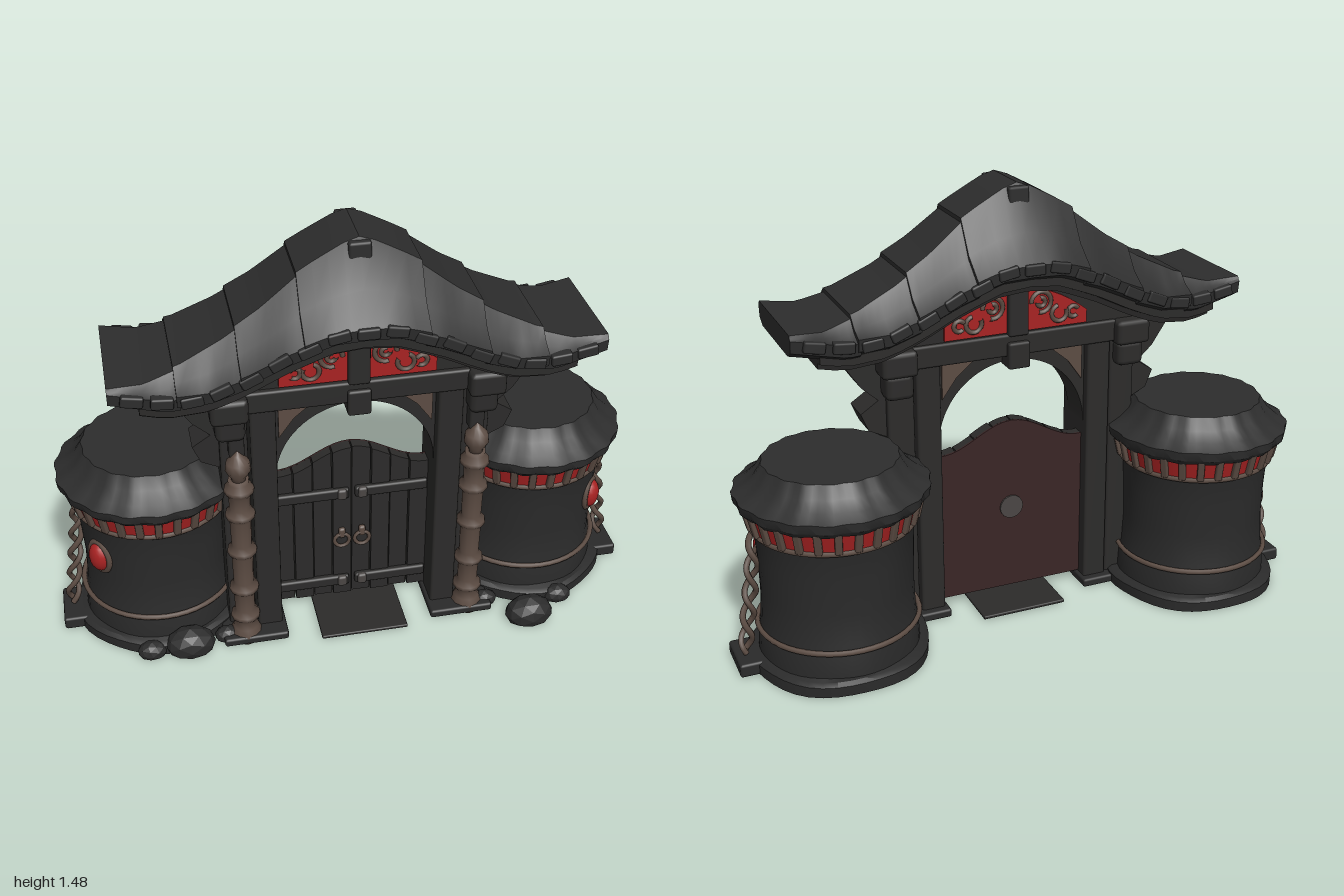
import * as THREE from 'three';
import { toCreasedNormals } from 'three/addons/utils/BufferGeometryUtils.js';
import { RoundedBoxGeometry } from 'three/addons/geometries/RoundedBoxGeometry.js';

const paint = (name, color) => Object.assign(new THREE.MeshStandardMaterial({ color }), { name });
const M = {
  roof: paint('charcoal tile', 0x2d2d2d),
  stone: paint('dark stone', 0x2a2a2a),
  wood: paint('black wood', 0x2c2b2a),
  brown: paint('weathered brown', 0x5c4c43),
  red: paint('deep red', 0xa82222),
  maroon: paint('maroon lacquer', 0x3a2525),
  grey: paint('dull grey', 0x4a4644),
};
const ZC = 0.09; // depth centre of the gate
const SIDES = [1, -1];

function add(parent, name, geo, mat, x = 0, y = 0, z = 0) {
  const m = new THREE.Mesh(geo, mat);
  m.name = name;
  m.position.set(x, y, z);
  parent.add(m);
  return m;
}
// box given by its limits
function block(parent, name, mat, x0, x1, y0, y1, z0, z1, r = 0.008) {
  const geo = new RoundedBoxGeometry(x1 - x0, y1 - y0, z1 - z0, 1, r);
  return add(parent, name, geo, mat, (x0 + x1) / 2, (y0 + y1) / 2, (z0 + z1) / 2);
}
// flat outline given a depth from z0 to z1
function plate(parent, name, mat, outline, z0, z1) {
  const shape = Array.isArray(outline) ? new THREE.Shape(outline.map((p) => new THREE.Vector2(...p))) : outline;
  const geo = new THREE.ExtrudeGeometry(shape, { depth: z1 - z0, bevelEnabled: false, curveSegments: 20 });
  return add(parent, name, toCreasedNormals(geo, 0.5), mat, 0, 0, z0);
}
const lathe = (pts, n) => new THREE.LatheGeometry(pts.map((p) => new THREE.Vector2(...p)), n);
// piecewise linear lookup mirrored about x = 0
function curve(table) {
  return (x) => {
    const a = Math.abs(x);
    let i = 1;
    while (i < table.length - 1 && a > table[i][0]) i++;
    const [x0, y0] = table[i - 1], [x1, y1] = table[i];
    return y0 + (y1 - y0) * (a - x0) / (x1 - x0);
  };
}
// solid made of (z, y) cross-sections along x
function sweep(xs, section) {
  const pos = [], idx = [];
  const n = section(xs[0]).length;
  xs.forEach((x) => section(x).forEach(([z, y]) => pos.push(x, y, z + ZC)));
  for (let i = 0; i < xs.length - 1; i++) for (let j = 0; j < n; j++) {
    const k = (j + 1) % n, a = i * n + j, b = i * n + k;
    idx.push(a, b, a + n, b, b + n, a + n);
  }
  [0, xs.length - 1].forEach((i) => {
    const c = pos.length / 3;
    const ys = section(xs[i]).map((p) => p[1]);
    pos.push(xs[i], (Math.max(...ys) + Math.min(...ys)) / 2, ZC);
    for (let j = 0; j < n; j++) {
      const a = i * n + j, b = i * n + (j + 1) % n;
      idx.push(c, ...(i ? [a, b] : [b, a]));
    }
  });
  const g = new THREE.BufferGeometry();
  g.setAttribute('position', new THREE.Float32BufferAttribute(pos, 3));
  g.setIndex(idx);
  return toCreasedNormals(g, 0.5);
}
const range = (a, b, n) => Array.from({ length: n + 1 }, (_, i) => a + (b - a) * i / n);

const ridgeY = curve([[0, 1.48], [0.05, 1.46], [0.18, 1.38], [0.3, 1.28], [0.42, 1.2], [0.55, 1.13], [0.66, 1.1], [0.77, 1.11]]);
const ridgeW = curve([[0, 0.095], [0.18, 0.1], [0.55, 0.145], [0.77, 0.185]]);
const eaveY = curve([[0, 1.25], [0.1, 1.24], [0.23, 1.19], [0.36, 1.125], [0.47, 1.08], [0.6, 1.065], [0.77, 1.095]]);
const eaveD = curve([[0, 0.24], [0.4, 0.235], [0.6, 0.22], [0.77, 0.195]]);

function buildRoof() {
  const g = new THREE.Group();
  g.name = 'roof';
  // overlapping tile courses, each resting on the one below
  const courses = [[-0.19, 0.19], [0.18, 0.38], [0.37, 0.57], [0.56, 0.77]];
  courses.forEach(([a, b], c) => (c ? SIDES : [1]).forEach((s) => {
    const xs = s > 0 ? range(a, b, 8) : range(-b, -a, 8);
    add(g, 'roofCourse', sweep(xs, (x) => {
      const k = c ? (Math.abs(x) - a) / (b - a) : Math.abs(x) / b;
      const lift = 0.014 * k * (c < 3 ? 1 : 0);
      const T = ridgeY(x) + lift, E = eaveY(x) + lift, w = ridgeW(x), d = eaveD(x) + lift * 0.5;
      const half = [[w, T], [w + (d - w) * 0.45, T + (E - T) * 0.62], [d, E], [d - 0.005, E - 0.04], [d - 0.04, E - 0.06]];
      return [...half, ...half.slice().reverse().map(([z, y]) => [-z, y])];
    }), M.roof);
  }));
  // arched trim under the eaves
  add(g, 'eaveTrim', sweep(range(-0.68, 0.68, 28), (x) => {
    const E = eaveY(x), d = eaveD(x) - 0.025;
    const half = [[d, E - 0.045], [d, E - 0.075], [d - 0.03, E - 0.08], [d - 0.035, E - 0.1]];
    return [...half, ...half.slice().reverse().map(([z, y]) => [-z, y])];
  }), M.wood);
  // tile ends along both eaves
  for (let i = 0; i < 17; i++) {
    const x = -0.7 + i * 0.0875;
    const slope = Math.atan2(eaveY(x + 0.03) - eaveY(x - 0.03), 0.06);
    SIDES.forEach((s) => {
      const t = add(g, 'tileEnd', new RoundedBoxGeometry(0.068, 0.036, 0.04, 1, 0.006), M.roof,
        x, eaveY(x) - 0.014 + (i % 2) * 0.006, ZC + s * (eaveD(x) - 0.01));
      t.rotation.z = slope;
    });
  }
  // ridge end knobs
  SIDES.forEach((s) => {
    block(g, 'ridgeKnob', M.roof, -0.035, 0.035, 1.41, 1.47, ZC + s * 0.1 - 0.02, ZC + s * 0.1 + 0.02);
  });
  return g;
}

function buildGate() {
  const g = new THREE.Group();
  g.name = 'gate';
  // arched wall, gable and lintel
  const arch = new THREE.Shape();
  arch.moveTo(0.262, 0.6);
  arch.absarc(0, 0.62, 0.262, 0, Math.PI, false);
  [[-0.262, 0.6], [-0.29, 0.6], [-0.29, 0.95], [0.29, 0.95], [0.29, 0.6]].forEach((p) => arch.lineTo(...p));
  plate(g, 'archWall', M.wood, arch, 0.03, 0.15);
  const top = range(0.44, -0.44, 24).map((x) => [x, eaveY(x) - 0.07]);
  plate(g, 'gableWall', M.wood, [[-0.44, 0.96], [0.44, 0.96], ...top], 0.0, 0.18);
  block(g, 'lintel', M.wood, -0.36, 0.36, 0.91, 0.985, -0.015, 0.2);
  const panelTop = range(0.25, -0.25, 16).map((x) => [x, Math.max(1.03, 1.135 - x * x * 1.6)]);
  SIDES.forEach((s) => {
    const z = ZC + s * 0.094;
    plate(g, 'gablePanel', M.red, [[-0.25, 0.99], [0.25, 0.99], ...panelTop], z - 0.004, z + 0.004);
    block(g, 'gableBracket', M.wood, -0.035, 0.035, 0.98, 1.15, z - 0.025, z + 0.025);
    block(g, 'keystone', M.wood, -0.038, 0.038, 0.87, 0.96, ZC + s * 0.085 - 0.04, ZC + s * 0.085 + 0.04);
    SIDES.forEach((m) => {
      // scrollwork and corner spandrels
      [[0.085, 1.08, 0.035], [0.085, 1.08, 0.014], [0.15, 1.035, 0.027], [0.2, 1.035, 0.018]].forEach(([x, y, r], i) => {
        const t = add(g, 'scroll', new THREE.TorusGeometry(r, 0.008, 6, 16, 5), M.brown, m * x, y, z + s * 0.005);
        t.rotation.z = i * 1.3;
      });
      const tri = [[m * 0.25, 0.9], [m * 0.14, 0.9], [m * 0.2, 0.85], [m * 0.25, 0.78]];
      plate(g, 'spandrel', M.brown, tri, ZC + s * 0.063 - 0.004, ZC + s * 0.063 + 0.004);
    });
  });
  SIDES.forEach((s) => {
    const span = (a, b) => (s > 0 ? [a, b] : [-b, -a]);
    block(g, 'innerPost', M.wood, ...span(0.262, 0.345), 0, 0.97, 0, 0.19);
    block(g, 'outerPost', M.wood, ...span(0.35, 0.44), 0, 0.98, 0.01, 0.16);
    block(g, 'postFooting', M.stone, ...span(0.25, 0.47), 0, 0.03, -0.03, 0.25);
    block(g, 'postCapital', M.wood, ...span(0.35, 0.47), 0.9, 0.985, -0.05, 0.24, 0.015);
    block(g, 'lowerCapital', M.wood, ...span(0.36, 0.455), 0.82, 0.91, -0.035, 0.215, 0.02);
    // carved side bracket
    const bracket = [[0.42, 0.98], [0.6, 0.98], [0.56, 0.92], [0.52, 0.86], [0.465, 0.81], [0.525, 0.77], [0.5, 0.71], [0.42, 0.67]];
    plate(g, 'sideBracket', M.wood, bracket.map(([x, y]) => [s * x, y]), 0.03, 0.14);
    // jointed brown column with finial
    const col = [[0, 0], [0.055, 0], [0.055, 0.025], [0.043, 0.05]];
    [0.1, 0.22, 0.38, 0.53, 0.63].forEach((y) => col.push([0.036, y - 0.025], [0.05, y - 0.006], [0.048, y + 0.006], [0.034, y + 0.025]));
    col.push([0.034, 0.67], [0, 0.67]);
    add(g, 'frontColumn', lathe(col, 12), M.brown, s * 0.39, 0, 0.195);
    add(g, 'columnFinial', lathe([[0, 0.66], [0.022, 0.66], [0.024, 0.68], [0.042, 0.71], [0.038, 0.74], [0.015, 0.765], [0, 0.78]], 12), M.brown, s * 0.39, 0, 0.2);
    block(g, 'finialBrace', M.wood, ...span(0.365, 0.415), 0.75, 0.83, 0.13, 0.2);
  });
  return g;
}

function buildDoor() {
  const g = new THREE.Group();
  g.name = 'door';
  const topY = (x) => 0.615 + 0.045 * Math.cos(x * Math.PI / 0.25);
  const n = 8, w = 0.53 / n;
  for (let i = 0; i < n; i++) {
    const a = -0.265 + i * w + 0.002, b = a + w - 0.004;
    plate(g, 'plank', M.wood, [[a, 0.035], [b, 0.035], ...range(b, a, 4).map((x) => [x, topY(x)])], 0.05, 0.085 + (i % 2) * 0.006);
  }
  plate(g, 'backPanel', M.maroon, [[-0.265, 0.035], [0.265, 0.035], ...range(0.265, -0.265, 20).map((x) => [x, topY(x)])], 0.043, 0.05);
  add(g, 'backDisc', new THREE.CylinderGeometry(0.042, 0.042, 0.008, 16), M.grey, 0, 0.34, 0.041).rotation.x = Math.PI / 2;
  SIDES.forEach((s) => {
    const x = s * 0.135;
    block(g, 'rail', M.wood, x - 0.125, x + 0.125, 0.46, 0.5, 0.08, 0.105);
    block(g, 'rail', M.wood, x - 0.125, x + 0.125, 0.08, 0.12, 0.08, 0.105);
    [0.48, 0.1].forEach((y) => block(g, 'railCap', M.grey, s * 0.035 - 0.016, s * 0.035 + 0.016, y - 0.02, y + 0.02, 0.09, 0.112));
    add(g, 'handle', new THREE.TorusGeometry(0.026, 0.007, 6, 14), M.brown, s * 0.035, 0.28, 0.098);
    block(g, 'handlePlate', M.brown, s * 0.035 - 0.012, s * 0.035 + 0.012, 0.29, 0.33, 0.085, 0.105);
  });
  block(g, 'doorStep', M.wood, -0.14, 0.16, 0.004, 0.016, -0.1, 0.28, 0.004);
  return g;
}

function buildTower(s) {
  const g = new THREE.Group();
  g.name = s > 0 ? 'leftTower' : 'rightTower';
  g.position.set(s * 0.655, 0, -0.06);
  // gently uneven stone drum and base
  const wobble = (geo, k, n) => {
    const p = geo.attributes.position;
    for (let i = 0; i < p.count; i++) {
      const a = Math.atan2(p.getZ(i), p.getX(i)), f = 1 + k * Math.sin(a * n + p.getY(i) * 9);
      p.setXYZ(i, p.getX(i) * f, p.getY(i), p.getZ(i) * f);
    }
    return toCreasedNormals(geo, 0.6);
  };
  add(g, 'drum', wobble(lathe([[0.262, 0.03], [0.258, 0.12], [0.25, 0.15], [0.246, 0.26], [0.25, 0.38], [0.255, 0.47], [0.262, 0.5]], 48), 0.008, 7), M.stone);
  add(g, 'base', wobble(lathe([[0, 0], [0.295, 0], [0.295, 0.035], [0.28, 0.045], [0, 0.045]], 40), 0.02, 5), M.stone);
  const slab = s > 0 ? [0.2, 0.345] : [-0.345, -0.2];
  block(g, 'baseSlab', M.stone, ...slab, 0, 0.045, -0.06, 0.11);
  // red frieze with brown posts
  add(g, 'frieze', lathe([[0.262, 0.485], [0.28, 0.56]], 48), M.red);
  for (let i = 0; i < 28; i++) {
    const a = i / 28 * Math.PI * 2;
    const post = add(g, 'friezePost', new RoundedBoxGeometry(0.024, 0.08, 0.022, 1, 0.005), M.brown, Math.sin(a) * 0.274, 0.524, Math.cos(a) * 0.274);
    post.rotation.set(0.23, a, 0, 'YXZ');
  }
  [[0.262, 0.135], [0.263, 0.482]].forEach(([r, y]) => {
    add(g, 'band', new THREE.TorusGeometry(r, 0.009, 6, 48), M.brown, 0, y, 0).rotation.x = Math.PI / 2;
  });
  // scalloped cap
  add(g, 'cap', wobble(lathe([[0.255, 0.548], [0.288, 0.55], [0.306, 0.57], [0.31, 0.6], [0.275, 0.62], [0.24, 0.65], [0.215, 0.69], [0, 0.693]], 72), 0.015, 18), M.roof);
  // gem in a brown ring
  const a = s * 0.9, out = new THREE.Vector3(Math.sin(a), 0, Math.cos(a));
  const gem = add(g, 'gem', new THREE.SphereGeometry(0.045, 16, 10), M.red, out.x * 0.252, 0.345, out.z * 0.252);
  gem.scale.set(0.9, 1.2, 0.7);
  gem.rotation.y = a;
  const ring = add(g, 'gemRing', new THREE.TorusGeometry(0.046, 0.01, 6, 20), M.brown, out.x * 0.25, 0.345, out.z * 0.25);
  ring.scale.y = 1.2;
  ring.rotation.y = a;
  // twisted rope down the outer side
  [0, Math.PI].forEach((ph) => {
    const pts = range(0, 1, 24).map((t) => {
      const q = t * Math.PI * 5 + ph;
      return new THREE.Vector3(s * (0.25 + 0.06 * t + 0.018 * Math.sin(q)), 0.47 - 0.42 * t, 0.015 + 0.014 * Math.cos(q));
    });
    add(g, 'rope', new THREE.TubeGeometry(new THREE.CatmullRomCurve3(pts), 60, 0.01, 6), M.brown);
  });
  // loose rocks at the foot
  [[-0.07 * s, s > 0 ? 0.37 : 0.29, 0.085], [0.06 * s, 0.29, 0.05], [-0.2 * s, 0.26, 0.045]].forEach(([x, z, r], i) => {
    const rock = add(g, 'rock', new THREE.IcosahedronGeometry(r, 1), M.stone, x, r * 0.32, z);
    rock.geometry.rotateY(i);
    rock.geometry.scale(1, 0.75, 0.7);
    const p = rock.geometry.attributes.position;
    for (let v = 0; v < p.count; v++) p.setY(v, Math.max(p.getY(v), -r * 0.32));
    rock.geometry.computeVertexNormals();
  });
  return g;
}

export function createModel() {
  const model = new THREE.Group();
  model.name = 'gatehouse';
  model.add(buildRoof(), buildGate(), buildDoor(), ...SIDES.map(buildTower));
  return model;
}
